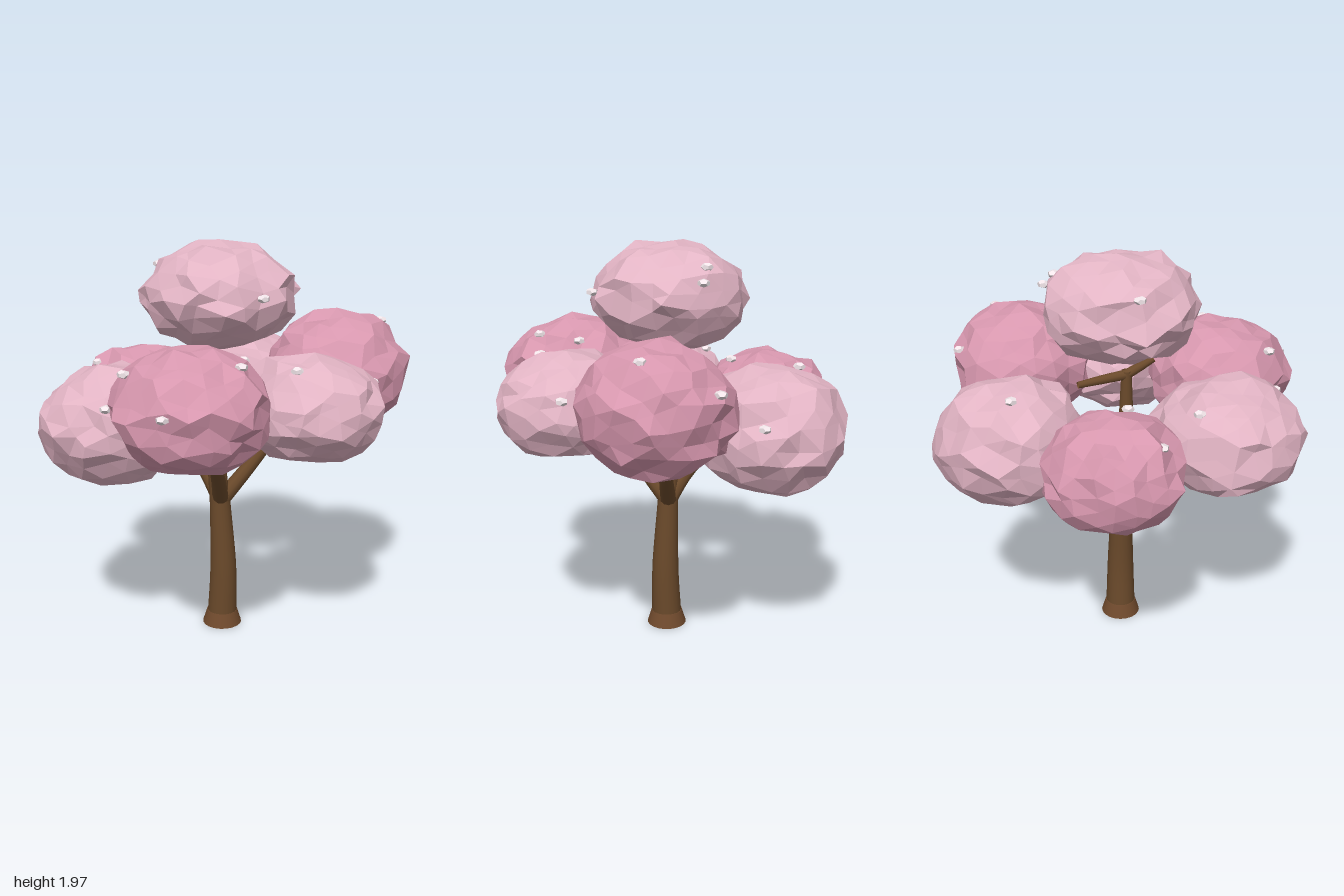
import * as THREE from 'three';
import { mergeVertices } from 'three/addons/utils/BufferGeometryUtils.js';

const mat = (color, flatShading = false) => new THREE.MeshStandardMaterial({ color, flatShading });
const V = (p) => new THREE.Vector3(...p);

// Seeded random numbers in 0..1
function seeded(seed) {
  let s = seed * 7919 + 17;
  return () => {
    s = (s * 16807) % 2147483647;
    return s / 2147483647;
  };
}

// Tube along a curve whose radius follows a list of evenly spaced values
function limb(name, points, radii, material, sides = 14) {
  const steps = 12;
  const curve = new THREE.CatmullRomCurve3(points.map(V));
  const geo = new THREE.TubeGeometry(curve, steps, 1, sides, false);
  const pos = geo.attributes.position;
  const v = new THREE.Vector3();
  for (let i = 0; i <= steps; i++) {
    const c = curve.getPointAt(i / steps);
    const f = (i / steps) * (radii.length - 1);
    const k = Math.min(Math.floor(f), radii.length - 2);
    const r = THREE.MathUtils.lerp(radii[k], radii[k + 1], f - k);
    for (let j = 0; j <= sides; j++) {
      const n = i * (sides + 1) + j;
      v.fromBufferAttribute(pos, n).sub(c).multiplyScalar(r).add(c);
      pos.setXYZ(n, v.x, v.y, v.z);
    }
  }
  const mesh = new THREE.Mesh(geo, material);
  mesh.name = name;
  return mesh;
}

// Faceted, irregular clump of foliage with a few spiky corners
function clump(name, center, radii, material, seed) {
  let geo = new THREE.IcosahedronGeometry(1, 3);
  geo.deleteAttribute('normal');
  geo.deleteAttribute('uv');
  geo = mergeVertices(geo, 1e-3);
  const rand = seeded(seed);
  for (let k = 0; k < 5; k++) rand();
  const pos = geo.attributes.position;
  const v = new THREE.Vector3();
  const shake = new THREE.Vector3();
  for (let i = 0; i < pos.count; i++) {
    shake.set(rand() - 0.5, rand() - 0.5, rand() - 0.5).multiplyScalar(0.13);
    v.fromBufferAttribute(pos, i).add(shake).normalize();
    v.multiplyScalar(0.92 + 0.13 * rand() + (rand() > 0.93 ? 0.06 : 0));
    pos.setXYZ(i, v.x, v.y, v.z);
  }
  geo.scale(...radii);
  geo.computeVertexNormals();
  const mesh = new THREE.Mesh(geo, material);
  mesh.position.set(...center);
  mesh.name = name;
  return mesh;
}

export function createModel() {
  const tree = new THREE.Group();
  tree.name = 'blossomTree';
  const bark = mat(0x6b4a2b);
  bark.side = THREE.DoubleSide;
  const rootBark = mat(0x704a2d);
  const pale = mat(0xe2b4c4, true);
  const rose = mat(0xd797ae, true);
  const petal = mat(0xf2e6ea, true);

  // Root flare
  const flare = new THREE.Mesh(new THREE.CylinderGeometry(0.078, 0.1, 0.07, 20), rootBark);
  flare.position.y = 0.035;
  flare.name = 'rootFlare';
  tree.add(flare);

  // Trunk and leader, bending gently backwards
  tree.add(limb('trunk', [[0, 0.03, 0], [0, 0.3, 0.008], [-0.005, 0.67, -0.01]], [0.077, 0.066, 0.052], bark, 18));
  tree.add(limb('leader', [[-0.005, 0.64, -0.01], [-0.025, 1, -0.025], [-0.03, 1.4, -0.03]], [0.052, 0.043, 0.025], bark));

  // Branches holding the lower crown, then twigs under the top clump
  const fork = [0, 0.67, -0.01];
  const branches = [
    ['branchFrontLeft', [fork, [0.14, 0.86, 0.08], [0.38, 1.2, 0.22]], [0.042, 0.032, 0.022]],
    ['branchFrontRight', [fork, [-0.12, 0.84, 0.08], [-0.36, 1.17, 0.22]], [0.042, 0.032, 0.022]],
    ['branchBack', [fork, [0, 0.81, -0.12], [0.02, 1.08, -0.46]], [0.042, 0.032, 0.022]],
    ['twigLeft', [[-0.03, 1.38, -0.03], [0.08, 1.37, -0.07], [0.2, 1.36, -0.12]], [0.025, 0.022, 0.016]],
    ['twigRight', [[-0.03, 1.38, -0.03], [-0.09, 1.41, -0.01], [-0.16, 1.45, 0]], [0.025, 0.022, 0.016]],
  ];
  for (const [name, points, radii] of branches) tree.add(limb(name, points, radii, bark, 10));

  // Crown clumps: name, centre, radii, colour
  const clumps = [
    ['topClump', [0, 1.715, -0.02], [0.38, 0.26, 0.37], pale],
    ['frontClump', [0.02, 1.25, 0.53], [0.325, 0.25, 0.345], pale],
    ['frontLeftClump', [0.5, 1.315, 0.33], [0.36, 0.3, 0.35], rose],
    ['frontRightClump', [-0.495, 1.285, 0.26], [0.36, 0.28, 0.36], rose],
    ['backLeftClump', [0.51, 1.145, -0.275], [0.365, 0.3, 0.36], pale],
    ['backRightClump', [-0.51, 1.15, -0.215], [0.365, 0.28, 0.36], pale],
    ['backClump', [0.02, 1.135, -0.57], [0.325, 0.265, 0.325], rose],
  ];
  clumps.forEach(([name, c, r, m], i) => tree.add(clump(name, c, r, m, i + 3)));

  // Small blossoms, each seated on the surface of a clump: clump index, rough place
  const blossoms = [
    [0, -0.1, 1.74, 0.33], [0, 0.26, 1.855, -0.04], [0, 0.3, 1.8, 0], [0, -0.08, 1.83, -0.3],
    [1, -0.14, 1.43, 0.58], [1, 0.29, 1.34, 0.67],
    [2, 0.62, 1.51, 0.44], [2, 0.76, 1.41, 0.2],
    [3, -0.43, 1.475, 0.46], [3, -0.28, 1.46, 0.34], [3, -0.77, 1.33, 0.39], [3, -0.71, 1.45, 0.09],
    [4, 0.78, 1.24, -0.06], [4, 0.48, 1.41, -0.44],
    [5, -0.36, 1.35, -0.43], [5, -0.76, 1.3, 0],
    [6, -0.18, 1.31, -0.7], [6, -0.05, 1.4, -0.36],
  ];
  const bud = new THREE.DodecahedronGeometry(0.03, 0);
  blossoms.forEach(([k, ...p], i) => {
    const center = V(clumps[k][1]);
    const radii = V(clumps[k][2]);
    const b = new THREE.Mesh(bud, petal);
    b.position.copy(V(p).sub(center).divide(radii).setLength(1.02).multiply(radii).add(center));
    b.scale.y = 0.65;
    b.rotation.y = i * 1.3;
    b.name = 'blossom';
    tree.add(b);
  });

  return tree;
}
